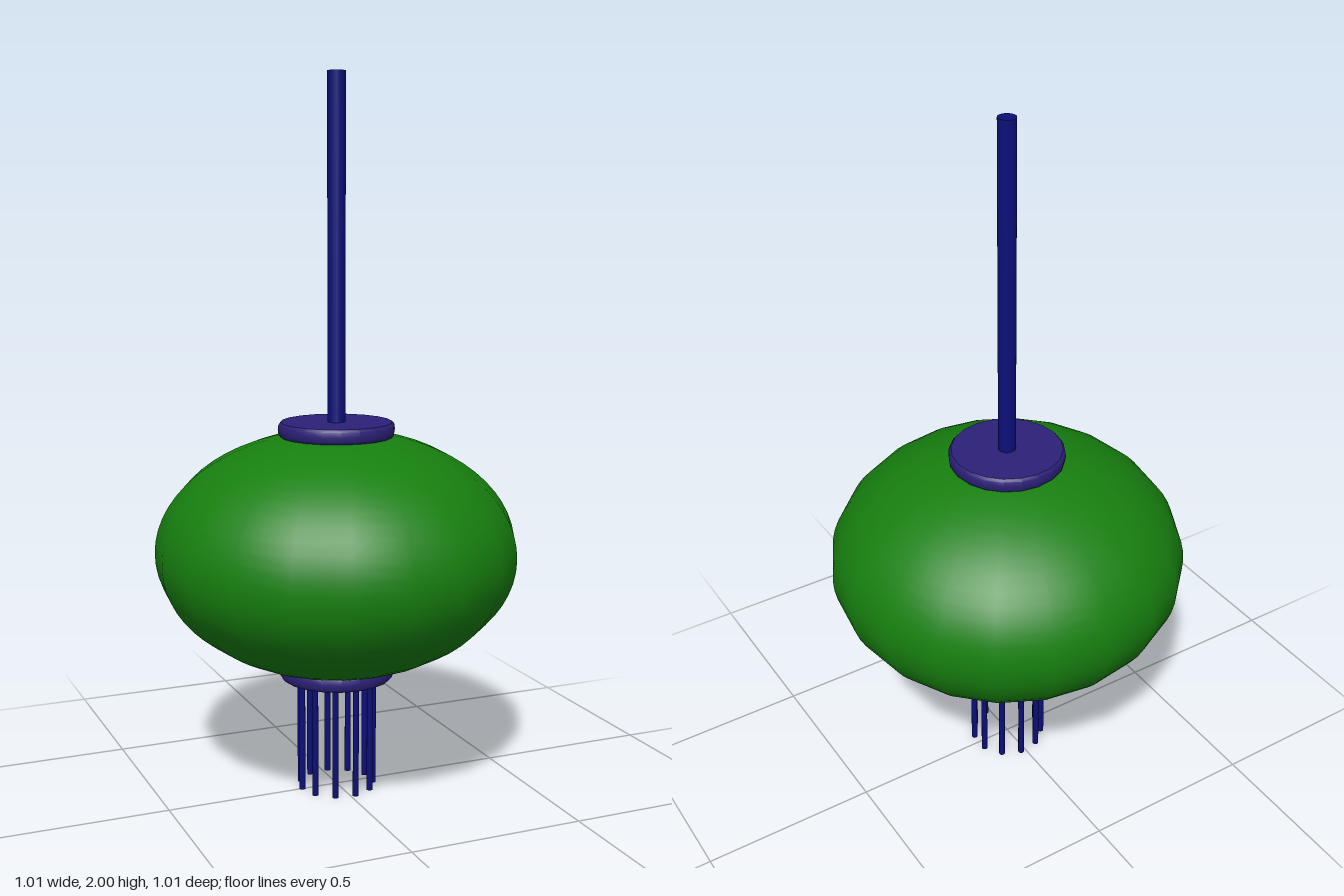
import * as THREE from 'three';
import { toCreasedNormals } from 'three/addons/utils/BufferGeometryUtils.js';

const SIDES = 20;
const green = new THREE.MeshStandardMaterial({ color: 0x17800f });
const purple = new THREE.MeshStandardMaterial({ color: 0x2c2078 });
const navy = new THREE.MeshStandardMaterial({ color: 0x0b0f78 });

function add(parent, name, geometry, material, x = 0, y = 0, z = 0) {
  const mesh = new THREE.Mesh(geometry, material);
  mesh.name = name;
  mesh.position.set(x, y, z);
  parent.add(mesh);
  return mesh;
}

export function createModel() {
  const model = new THREE.Group();
  model.name = 'hangingLantern';

  // Squashed round shade, faceted around its axis
  const profile = [];
  const steps = 32;
  for (let i = 0; i <= steps; i++) {
    const a = -Math.PI / 2 + (Math.PI * i) / steps;
    profile.push(new THREE.Vector2(Math.max(0, 0.507 * Math.cos(a)), 0.342 * Math.sin(a)));
  }
  add(model, 'shade', new THREE.LatheGeometry(profile, SIDES), green, 0, 0.687, 0);

  // Matching end caps with softened rims
  const rim = [[0, -0.021], [0.155, -0.021], [0.161, -0.014], [0.163, 0],
    [0.161, 0.014], [0.155, 0.021], [0, 0.021]].map(([r, y]) => new THREE.Vector2(r, y));
  const cap = toCreasedNormals(new THREE.LatheGeometry(rim, SIDES), 0.6);
  add(model, 'topCap', cap, purple, 0, 1.032, 0);
  add(model, 'bottomCap', cap, purple, 0, 0.344, 0);

  // Hanging rod
  add(model, 'rod', new THREE.CylinderGeometry(0.025, 0.025, 0.96, 16), navy, 0, 1.52, 0);

  // Ring of fringe strands under the bottom cap
  const fringe = new THREE.Group();
  fringe.name = 'fringe';
  const strand = new THREE.CylinderGeometry(0.009, 0.009, 0.335, 8);
  const count = 11;
  for (let i = 0; i < count; i++) {
    const a = Math.PI + (i * Math.PI * 2) / count;
    add(fringe, 'strand', strand, navy, 0.105 * Math.cos(a), 0.1675, 0.105 * Math.sin(a));
  }
  model.add(fringe);

  return model;
}
